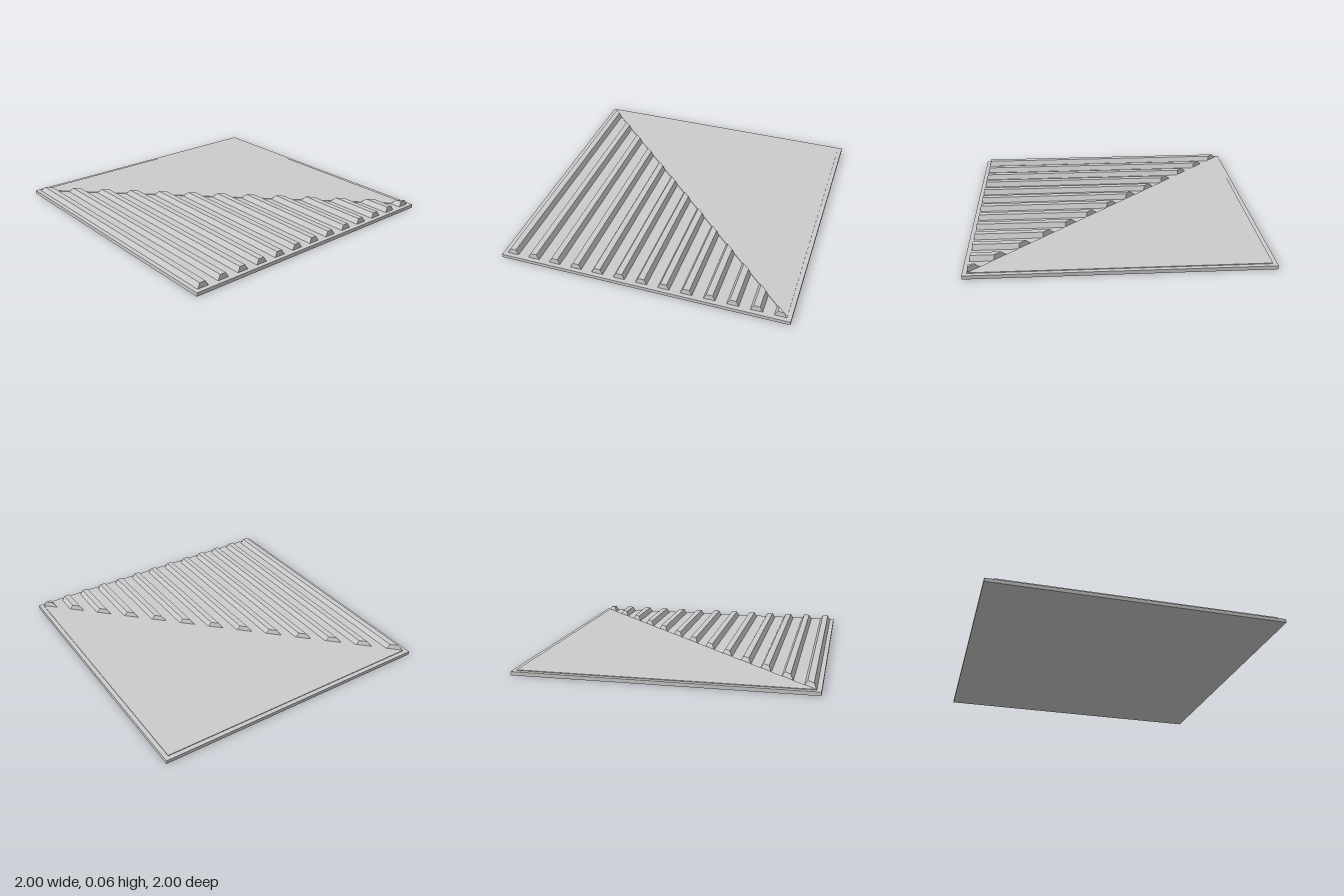
import * as THREE from 'three';

const PLATE = 0.025, SKIN = 0.03, TOP = 0.06, EDGE = 0.97;

// Tapered rib: its back end follows the diagonal z = x and leans inward
function ribGeometry(cx) {
  const ring = (y, half, lean, front) => [
    [cx - half, y, front],
    [cx + half, y, front],
    [cx + half, y, cx + half + lean],
    [cx - half, y, cx - half + lean],
  ];
  const b = ring(PLATE, 0.04, 0, EDGE);
  const t = ring(TOP, 0.021, 0.014, EDGE - 0.004);
  const pos = [];
  const quad = (p, q, r, s) => pos.push(...p, ...q, ...r, ...p, ...r, ...s);
  for (let i = 0; i < 4; i++) {
    const j = (i + 1) % 4;
    quad(b[i], b[j], t[j], t[i]);
  }
  quad(...t);
  quad(b[3], b[2], b[1], b[0]);
  const g = new THREE.BufferGeometry();
  g.setAttribute('position', new THREE.Float32BufferAttribute(pos, 3));
  g.computeVertexNormals();
  return g;
}

export function createModel() {
  const group = new THREE.Group();
  const material = new THREE.MeshStandardMaterial({ color: 0xcccccc, flatShading: true });
  const add = (name, geometry) => {
    const mesh = new THREE.Mesh(geometry, material);
    mesh.name = name;
    group.add(mesh);
    return mesh;
  };

  // Square base plate
  add('basePlate', new THREE.BoxGeometry(2, PLATE, 2)).position.y = PLATE / 2;

  // Thin smooth triangle on the back-left half (shape y is -z)
  const half = new THREE.Shape([
    new THREE.Vector2(-EDGE, EDGE),
    new THREE.Vector2(EDGE, -EDGE),
    new THREE.Vector2(EDGE, EDGE),
  ]);
  const panel = new THREE.ExtrudeGeometry(half, { depth: SKIN - PLATE, bevelEnabled: false });
  panel.rotateX(-Math.PI / 2);
  add('smoothTriangle', panel).position.y = PLATE;

  // Thirteen ribs, shortening along the diagonal
  const ribs = 13;
  for (let i = 0; i < ribs; i++) {
    add('rib' + (i + 1), ribGeometry(-0.93 + (1.86 * i) / (ribs - 1)));
  }
  return group;
}
